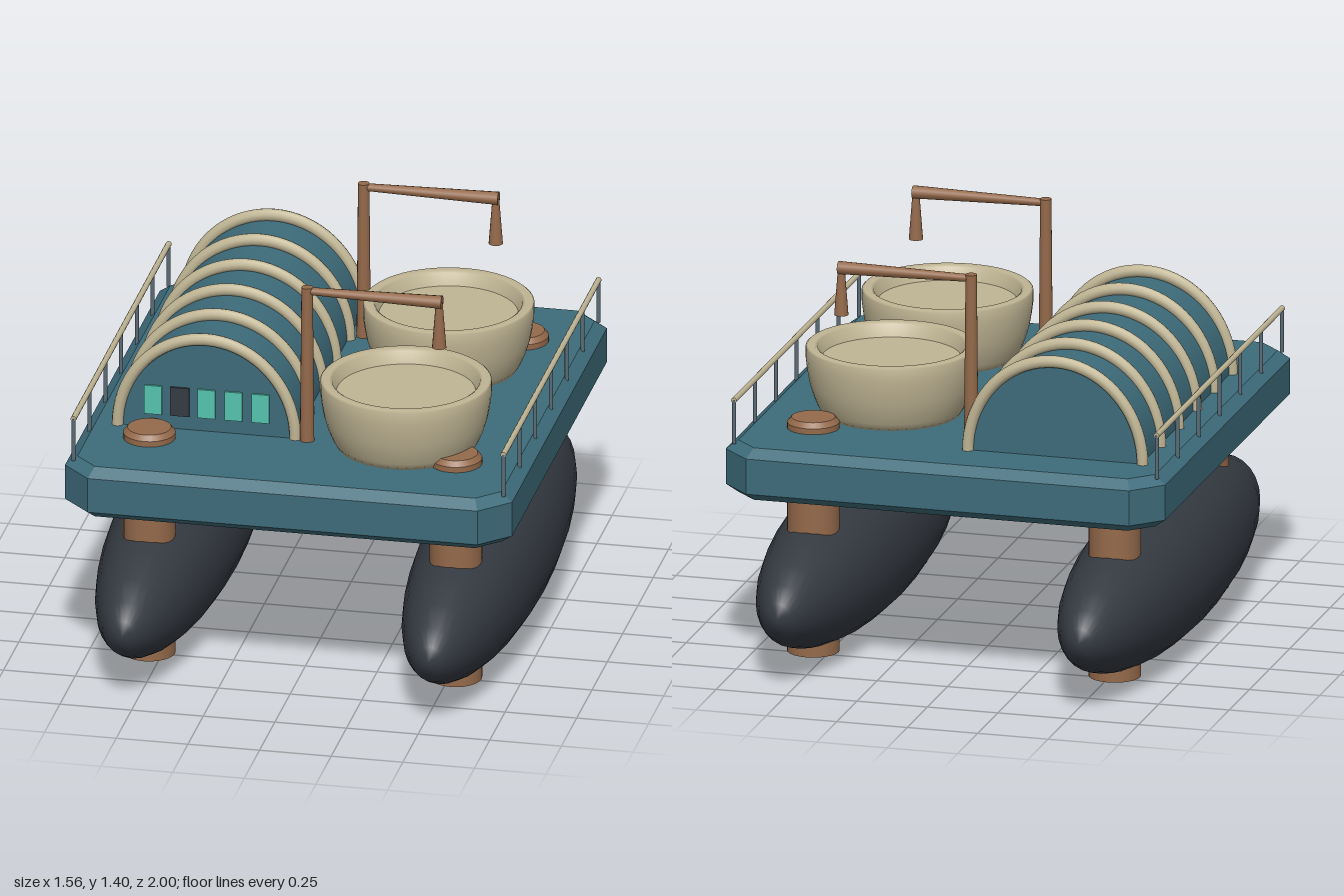
import * as THREE from 'three';

const mat = (name, color, side = THREE.FrontSide) => {
  const m = new THREE.MeshStandardMaterial({ color, side });
  m.name = name;
  return m;
};

export function createModel() {
  const group = new THREE.Group();
  const teal = mat('deckTeal', 0x3d6b7a);
  const tan = mat('paleTan', 0xc0b594);
  const wood = mat('copperBrown', 0x94694a);
  const dark = mat('charcoal', 0x353a42);
  const mint = mat('windowMint', 0x55c4ae);
  const steel = mat('railSteel', 0x5a6b76);

  const add = (name, geometry, material, x = 0, y = 0, z = 0) => {
    const mesh = new THREE.Mesh(geometry, material);
    mesh.name = name;
    mesh.position.set(x, y, z);
    group.add(mesh);
    return mesh;
  };
  // Tapered round bar between two points
  const bar = (name, a, b, ra, rb, material) => {
    const from = new THREE.Vector3(...a), to = new THREE.Vector3(...b);
    const dir = to.clone().sub(from);
    const mesh = add(name, new THREE.CylinderGeometry(rb, ra, dir.length(), 12), material);
    mesh.position.copy(from).addScaledVector(dir, 0.5);
    mesh.quaternion.setFromUnitVectors(new THREE.Vector3(0, 1, 0), dir.normalize());
  };

  // Deck: octagonal slab with chamfered edges
  const W = 0.78, D = 0.875, C = 0.1, DECK = 0.825;
  const outline = new THREE.Shape([
    [W, -D + C], [W, D - C], [W - C, D], [-W + C, D],
    [-W, D - C], [-W, -D + C], [-W + C, -D], [W - C, -D],
  ].map(([x, y]) => new THREE.Vector2(x, y)));
  const deck = new THREE.ExtrudeGeometry(outline, {
    depth: 0.125, bevelEnabled: true, bevelSegments: 1,
    bevelThickness: 0.03, bevelSize: 0.04, bevelOffset: -0.04,
  });
  deck.rotateX(-Math.PI / 2);
  add('deck', deck, teal, 0, 0.67, 0);

  for (const s of [-1, 1]) {
    // Pontoons
    const hull = new THREE.SphereGeometry(1, 24, 16).rotateX(Math.PI / 2).scale(0.22, 0.266, 1);
    add('pontoon', hull, dark, s * 0.535, 0.27, 0);

    // Legs through the deck, with a chamfered top
    for (const z of [-0.545, 0.545]) {
      add('leg', new THREE.CylinderGeometry(0.09, 0.09, 0.815, 24), wood, s * 0.535, 0.4375, z);
      add('legCap', new THREE.CylinderGeometry(0.075, 0.09, 0.018, 24), wood, s * 0.535, 0.854, z);
    }

    // Railings
    bar('handrail', [s * 0.75, 0.97, -0.78], [s * 0.75, 0.97, 0.78], 0.01, 0.01, tan);
    for (let i = 0; i < 7; i++) {
      const z = -0.775 + i * 1.55 / 6;
      bar('railPost', [s * 0.75, DECK - 0.01, z], [s * 0.75, 0.97, z], 0.007, 0.007, steel);
    }
  }

  // Vaulted house
  const X = -0.355;
  const vault = new THREE.CylinderGeometry(1, 1, 1.11, 40, 1, false, Math.PI / 2, Math.PI);
  vault.rotateX(Math.PI / 2).scale(0.305, 0.32, 1);
  add('vault', vault, teal, X, DECK, -0.1);
  for (let i = 0; i < 6; i++) {
    const rib = new THREE.TorusGeometry(0.31, 0.02, 10, 36, Math.PI).scale(1, 1.095, 1);
    add('vaultRib', rib, tan, X, DECK, -0.655 + i * 0.222);
  }

  // Front windows and door panel
  [-0.54, -0.447, -0.354, -0.259, -0.165].forEach((x, i) => {
    const door = i === 1;
    add(door ? 'door' : 'window', new THREE.BoxGeometry(door ? 0.066 : 0.061, 0.105, 0.009),
      door ? dark : mint, x, 0.927, 0.4585);
  });

  // Round tanks with a thick rim and a recessed floor
  const profile = [
    [0, 0], [0.238, 0], [0.252, 0.025], [0.268, 0.065], [0.28, 0.105], [0.288, 0.15],
    [0.293, 0.19], [0.293, 0.232], [0.286, 0.238], [0.262, 0.238], [0.253, 0.232], [0.238, 0.19],
  ].map(([x, y]) => new THREE.Vector2(x, y));
  for (const z of [-0.285, 0.41]) {
    add('tank', new THREE.LatheGeometry(profile, 48), tan, 0.332, DECK, z);
    const fill = new THREE.CircleGeometry(0.239, 48).rotateX(-Math.PI / 2);
    add('tankFill', fill, tan, 0.332, DECK + 0.19, z);
  }

  // Feeder booms over the tanks
  for (const z of [-0.467, 0.458]) {
    bar('boomMast', [-0.003, DECK, z], [-0.003, 1.392, z], 0.025, 0.02, wood);
    bar('boomArm', [-0.015, 1.378, z], [0.468, 1.377, z], 0.013, 0.023, wood);
    bar('boomNozzle', [0.458, 1.21, z], [0.458, 1.375, z], 0.025, 0.012, wood);
  }
  return group;
}
